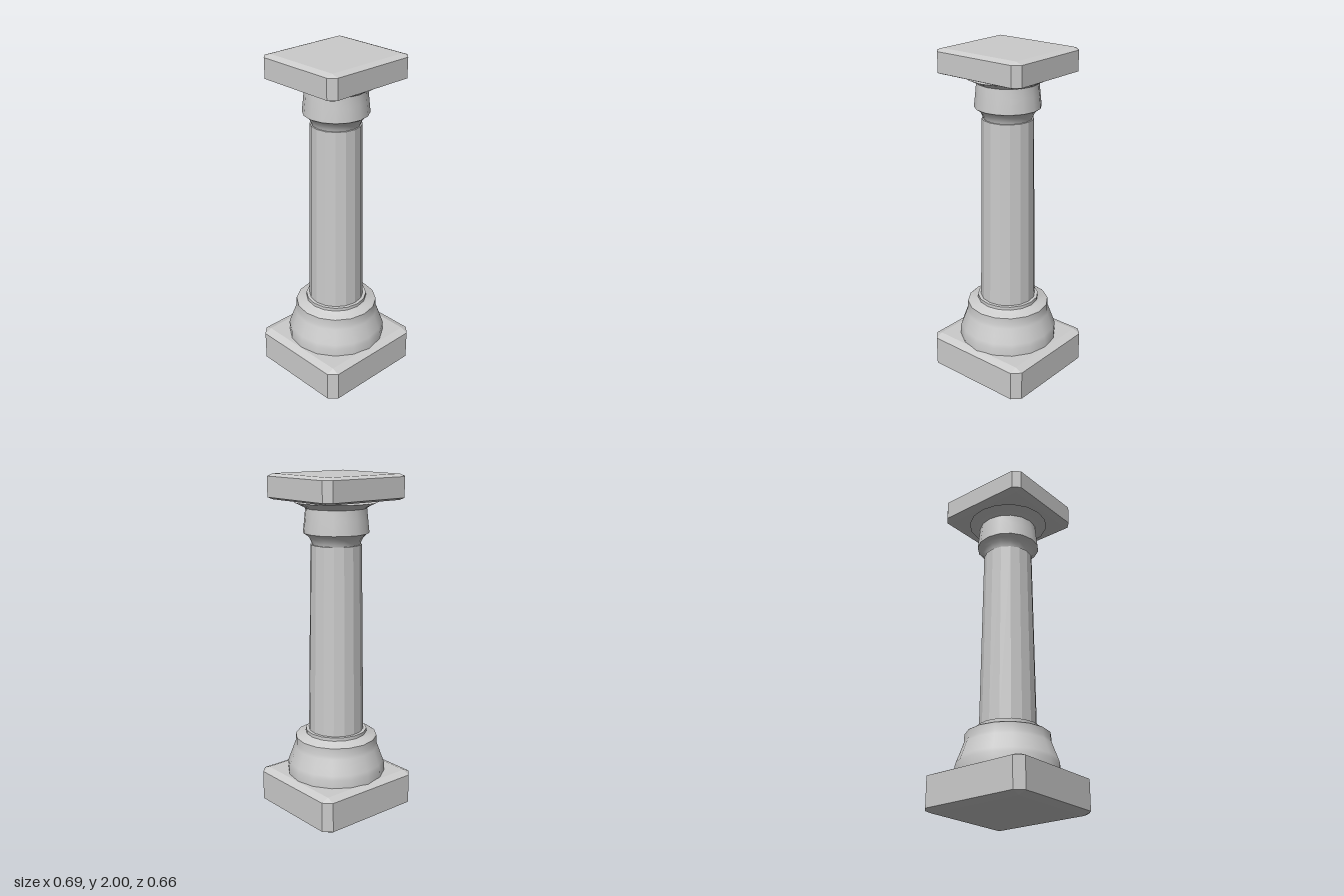
import * as THREE from 'three';
import { toCreasedNormals } from 'three/addons/utils/BufferGeometryUtils.js';
import { ConvexGeometry } from 'three/addons/geometries/ConvexGeometry.js';

const SIDES = 16;

export function createModel() {
  const model = new THREE.Group();
  model.name = 'column';
  const stone = new THREE.MeshStandardMaterial({ color: 0xcccccc });
  const facetedStone = new THREE.MeshStandardMaterial({ color: 0xcccccc, flatShading: true });

  const add = (name, geometry, material = stone) => {
    const mesh = new THREE.Mesh(geometry, material);
    mesh.name = name;
    model.add(mesh);
    return mesh;
  };

  // Rectangular slab with every edge bevelled; inset is horizontal, rise is vertical
  const slab = (name, halfX, halfZ, bottom, top, inset, rise) => {
    const points = [];
    for (const sx of [-1, 1]) for (const sz of [-1, 1]) {
      const outX = sx * halfX, outZ = sz * halfZ;
      const inX = sx * (halfX - inset), inZ = sz * (halfZ - inset);
      for (const [y, dy] of [[bottom, rise], [top, -rise]]) {
        points.push(
          new THREE.Vector3(inX, y, inZ),
          new THREE.Vector3(outX, y + dy, inZ),
          new THREE.Vector3(inX, y + dy, outZ)
        );
      }
    }
    return add(name, new ConvexGeometry(points), facetedStone);
  };

  // Turned part from [radius, height] pairs, smooth around and sharp at the ledges
  const turned = (name, profile) => {
    const points = profile.map(([r, y]) => new THREE.Vector2(r, y));
    return add(name, toCreasedNormals(new THREE.LatheGeometry(points, SIDES), 0.55));
  };

  slab('plinth', 0.347, 0.331, 0, 0.217, 0.046, 0.019);

  // Bell-shaped base with an upper band and a small collar under the shaft
  turned('base', [
    [0, 0.2], [0.295, 0.2], [0.295, 0.265], [0.287, 0.29], [0.272, 0.33],
    [0.254, 0.38], [0.247, 0.4], [0.246, 0.445], [0.235, 0.452],
    [0.195, 0.46], [0.184, 0.468], [0.184, 0.488], [0, 0.488]
  ]);

  // Tapered shaft with flat facets
  const shaft = add('shaft', new THREE.CylinderGeometry(0.148, 0.165, 1.125, SIDES), facetedStone);
  shaft.position.y = 1.0425;

  // Capital: hollow neck, drum, and flared lip
  turned('capital', [
    [0, 1.59], [0.138, 1.6], [0.143, 1.617], [0.155, 1.642], [0.172, 1.66], [0.19, 1.671],
    [0.189, 1.685], [0.182, 1.75], [0.176, 1.81], [0.19, 1.82], [0.243, 1.845], [0, 1.845]
  ]);

  slab('abacus', 0.3, 0.283, 1.855, 2, 0.039, 0.014);

  return model;
}
